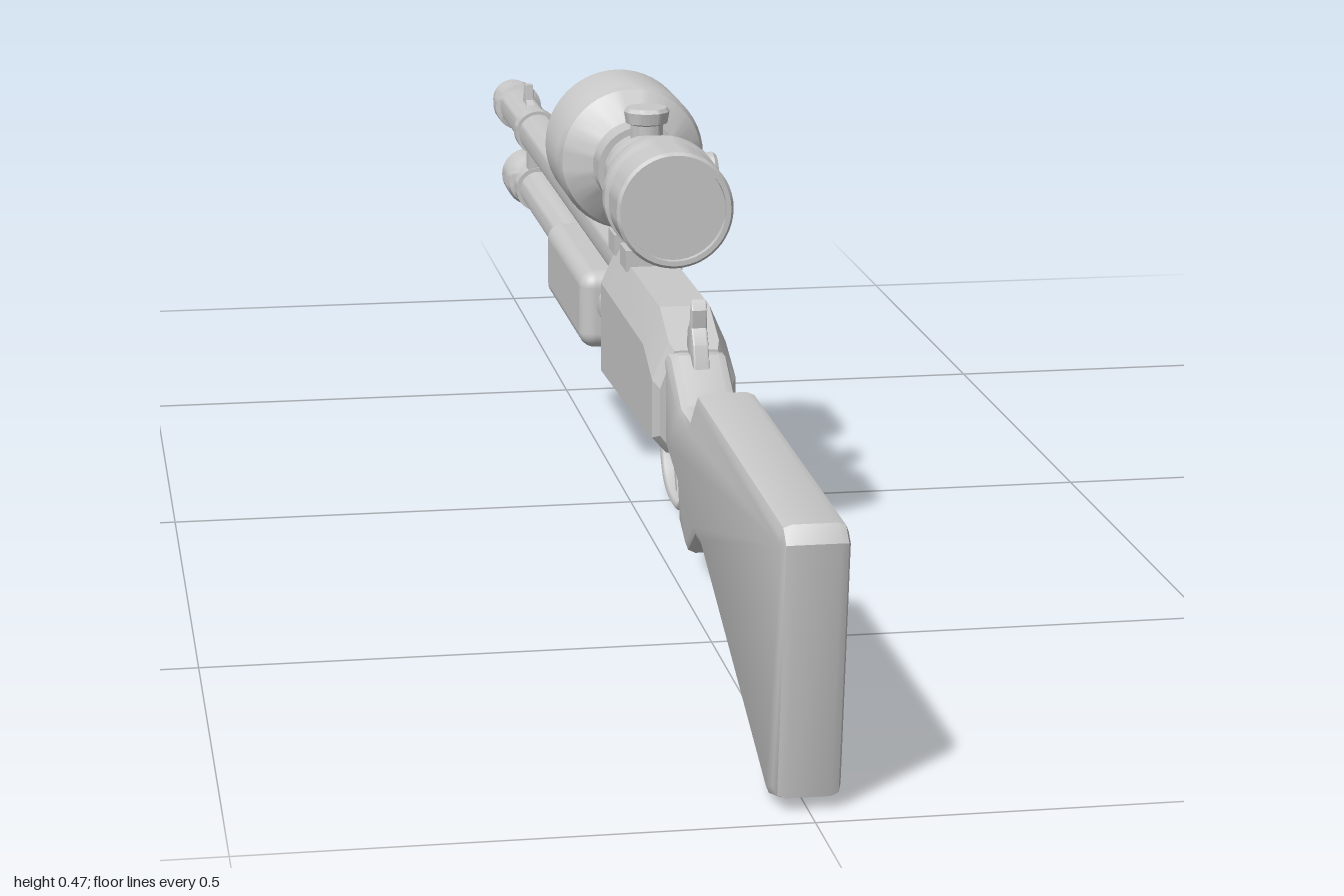
import * as THREE from 'three';
import { toCreasedNormals } from 'three/addons/utils/BufferGeometryUtils.js';
import { RoundedBoxGeometry } from 'three/addons/geometries/RoundedBoxGeometry.js';

const grey = new THREE.MeshStandardMaterial({ color: 0xc8c8c8 });
grey.name = 'plain grey';

export function createModel() {
  const model = new THREE.Group();
  model.name = 'scopedLongGun';

  function add(name, geo, x = 0, y = 0, z = 0) {
    const mesh = new THREE.Mesh(geo, grey);
    mesh.name = name;
    mesh.position.set(x, y, z);
    model.add(mesh);
    return mesh;
  }
  // turned part along z; profile is [z, radius] from back (-z) to front (+z)
  function turned(profile, segs = 32) {
    const geo = new THREE.LatheGeometry(profile.map(([z, r]) => new THREE.Vector2(r, z)), segs);
    return toCreasedNormals(geo.rotateX(Math.PI / 2), 0.5);
  }
  // side outline in [z, y], extruded across x with a bevel
  function sidePlate(outline, width, bevel) {
    const shape = new THREE.Shape(outline.map(([z, y]) => new THREE.Vector2(z, y)));
    const depth = width - 2 * bevel;
    const geo = new THREE.ExtrudeGeometry(shape, {
      depth, bevelEnabled: bevel > 0, bevelSize: bevel, bevelThickness: bevel,
      bevelOffset: -bevel, bevelSegments: 2,
    });
    return toCreasedNormals(geo.translate(0, 0, -depth / 2).rotateY(-Math.PI / 2), 0.5);
  }
  // faceted body through matching cross-sections of [x, y] points, ordered by rising z
  function loft(sections) {
    const n = sections[0].pts.length, pos = [], idx = [];
    sections.forEach(s => s.pts.forEach(([x, y]) => pos.push(x, y, s.z)));
    for (let s = 0; s < sections.length - 1; s++) {
      for (let i = 0; i < n; i++) {
        const a = s * n + i, b = s * n + (i + 1) % n;
        idx.push(a, b, b + n, a, b + n, a + n);
      }
    }
    const end = (sections.length - 1) * n;
    for (let i = 1; i < n - 1; i++) idx.push(0, i + 1, i, end, end + i, end + i + 1);
    const geo = new THREE.BufferGeometry();
    geo.setAttribute('position', new THREE.Float32BufferAttribute(pos, 3));
    geo.setIndex(idx);
    return toCreasedNormals(geo, 0.3);
  }

  // stock with grip
  add('stock', sidePlate([
    [1, 0.25], [0.985, 0.264], [0.57, 0.272], [0.53, 0.236], [0.48, 0.236], [0.42, 0.272],
    [0.38, 0.272], [0.38, 0.17], [0.41, 0.17], [0.47, 0.153], [0.48, 0.118], [0.52, 0.1],
    [0.56, 0.128], [0.6, 0.128], [0.93, 0.002], [0.97, 0.014],
  ], 0.06, 0.01));

  // receiver
  const section = (z, top, bottom, w) => ({
    z,
    pts: [
      [-w * 0.66, bottom], [w * 0.66, bottom], [w, bottom + 0.016], [w, top - 0.038],
      [w * 0.6, top], [-w * 0.6, top], [-w, top - 0.038], [-w, bottom + 0.016],
    ],
  });
  add('receiver', loft([
    section(0.06, 0.303, 0.152, 0.042), section(0.34, 0.303, 0.163, 0.042),
    section(0.395, 0.28, 0.167, 0.042), section(0.408, 0.274, 0.172, 0.036),
  ]));

  // ejection port frame on the left side
  const slot = (hw, hh) => [[-hw, -hh], [hw, -hh], [hw, hh], [-hw, hh]].map(p => new THREE.Vector2(...p));
  const frame = new THREE.Shape(slot(0.058, 0.014));
  frame.holes.push(new THREE.Path(slot(0.052, 0.008)));
  add('ejectionPort', new THREE.ExtrudeGeometry(frame, { depth: 0.003, bevelEnabled: false })
    .rotateY(Math.PI / 2), 0.0415, 0.252, 0.168);

  // hammer
  add('hammer', sidePlate([
    [0.395, 0.265], [0.44, 0.262], [0.434, 0.285], [0.424, 0.3], [0.426, 0.318], [0.42, 0.328],
    [0.414, 0.306], [0.402, 0.295],
  ], 0.016, 0.002));

  // trigger guard and trigger
  const guard = new THREE.CatmullRomCurve3([
    [0.395, 0.175], [0.385, 0.125], [0.355, 0.1], [0.315, 0.095], [0.275, 0.105], [0.255, 0.13], [0.25, 0.17],
  ].map(([z, y]) => new THREE.Vector3(0, y, z)));
  add('triggerGuard', new THREE.TubeGeometry(guard, 32, 0.006, 8).scale(1.7, 1, 1));
  add('trigger', sidePlate([
    [0.345, 0.17], [0.318, 0.17], [0.322, 0.14], [0.335, 0.108], [0.325, 0.108], [0.31, 0.14], [0.305, 0.17],
  ].filter((p, i) => i !== 1), 0.012, 0));

  // barrel with muzzle collar and bore
  add('barrel', turned([
    [-0.95, 0], [-0.95, 0.015], [-1, 0.015], [-1, 0.026], [-0.968, 0.026], [-0.966, 0.03],
    [-0.938, 0.03], [-0.936, 0.024], [0.08, 0.024], [0.08, 0],
  ]), 0, 0.276);

  // magazine tube and end cap
  add('magazineTube', turned([
    [-0.86, 0], [-0.86, 0.029], [-0.855, 0.033], [-0.81, 0.033], [-0.803, 0.03], [-0.8, 0.023],
    [0.08, 0.023], [0.08, 0],
  ]), 0, 0.203);

  // sliding forend
  add('forend', new RoundedBoxGeometry(0.082, 0.088, 0.285, 4, 0.018), 0, 0.196, -0.238);

  // clamp joining barrel and tube
  for (const y of [0.276, 0.203]) {
    add('clampRing', turned([[-0.012, 0], [-0.012, 0.028], [0.012, 0.028], [0.012, 0]]), 0, y, -0.76);
  }
  add('clampWeb', new THREE.BoxGeometry(0.024, 0.06, 0.02), 0, 0.24, -0.76);

  // front sight
  add('frontSight', sidePlate([
    [-0.805, 0.296], [-0.86, 0.296], [-0.85, 0.305], [-0.842, 0.324], [-0.828, 0.324], [-0.826, 0.305],
  ], 0.01, 0.001));

  // scope: objective bell at the back, eyepiece at the front
  const scopeY = 0.389;
  add('scopeBody', turned([
    [-0.08, 0], [-0.08, 0.073], [-0.094, 0.073], [-0.095, 0.08], [-0.005, 0.08], [0.008, 0.076],
    [0.032, 0.05], [0.045, 0.04], [0.13, 0.04], [0.14, 0.043], [0.165, 0.054], [0.2, 0.057],
    [0.202, 0.062], [0.216, 0.062], [0.218, 0.057], [0.23, 0.057], [0.232, 0.06], [0.284, 0.06],
    [0.288, 0.057], [0.288, 0.052], [0.28, 0.052], [0.28, 0],
  ], 48), 0, scopeY);

  // scope rings and mounts
  for (const z of [0.055, 0.135]) {
    add('scopeRing', turned([[-0.018, 0], [-0.018, 0.047], [0.018, 0.047], [0.018, 0]]), 0, scopeY, z);
    add('mountPost', new THREE.BoxGeometry(0.036, 0.035, 0.03), 0, 0.333, z);
    add('mountBase', new THREE.BoxGeometry(0.06, 0.022, 0.042), 0, 0.309, z);
  }

  // adjustment knobs on top and on the left side
  const knob = turned([
    [0.03, 0], [0.03, 0.017], [0.056, 0.017], [0.058, 0.022], [0.07, 0.024], [0.074, 0.021], [0.074, 0],
  ]);
  add('topKnob', knob, 0, scopeY, 0.105).rotation.x = -Math.PI / 2;
  add('sideKnob', knob, 0, scopeY, 0.105).rotation.y = Math.PI / 2;

  return model;
}
